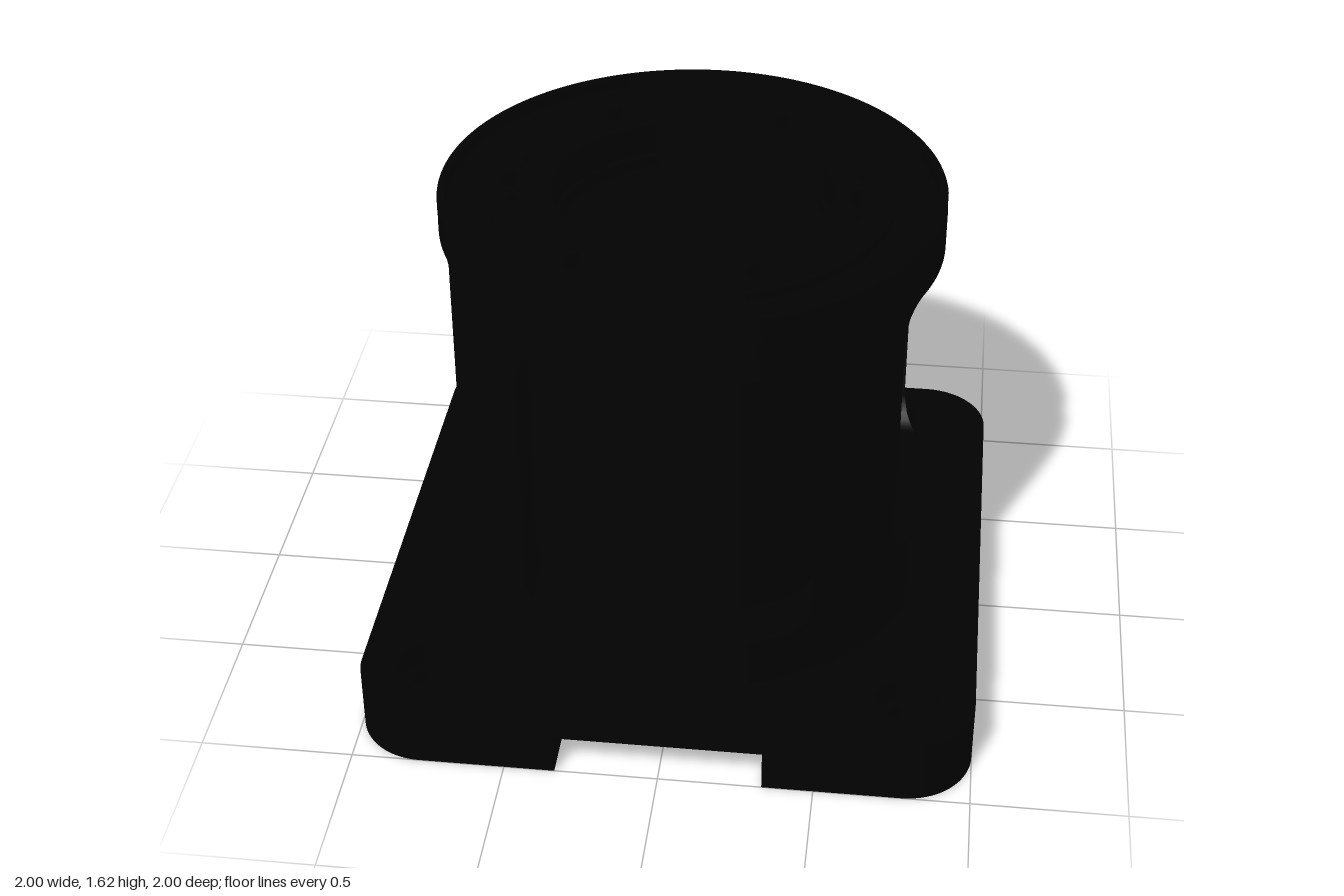
import * as THREE from 'three';
import { toCreasedNormals } from 'three/addons/utils/BufferGeometryUtils.js';

const R = 0.81, RI = 0.64, BASE = 0.223, TOP = 1.54;
const material = new THREE.MeshStandardMaterial({ color: 0x020202 });

function mesh(geometry, name, smooth = true) {
  const g = smooth ? toCreasedNormals(geometry, 0.5) : geometry;
  const m = new THREE.Mesh(g, material);
  m.name = name;
  return m;
}

// Extrude a plan shape upward from y0 to y1
function slab(shape, y0, y1, name, curveSegments = 16) {
  const g = new THREE.ExtrudeGeometry(shape, { depth: y1 - y0, bevelEnabled: false, curveSegments });
  g.rotateX(-Math.PI / 2).translate(0, y0, 0);
  return mesh(g, name);
}

function lathe(points, name) {
  return mesh(new THREE.LatheGeometry(points.map(p => new THREE.Vector2(...p)), 96), name);
}

function addHole(shape, x, y, r) {
  shape.holes.push(new THREE.Path().absarc(x, y, r, 0, Math.PI * 2, true));
}

// Openings in the housing wall, one sector per side; w is the half width
const sectors = [
  { c: 0, flat: true, openings: [{ w: 0.28, y0: 0.1, y1: 0.4, r: 0.06 }, { w: 0.4, y0: 0.5, y1: 1.45, r: 0.1 }] },
  { c: 0.5, openings: [{ w: 0.47, y0: 0.4, y1: 1.4, r: 0.1 }] },
  { c: 1, openings: [{ w: 0.37, y0: 0.1, y1: 1.51, r: 0.01 }] },
  { c: 1.5, openings: [{ w: 0.47, y0: 0.4, y1: 1.4, r: 0.1 }] },
];

// Lower and upper edge of a round-cornered opening at offset s
function edges(o, s) {
  const d = Math.max(0, Math.abs(s) - (o.w - o.r));
  const inset = o.r - Math.sqrt(Math.max(0, o.r * o.r - d * d));
  return [Math.max(BASE, o.y0 + inset), o.y1 - inset];
}

// Cylindrical wall built column by column around the openings
function housingGeometry() {
  const cols = [];
  sectors.forEach((sec, i) => {
    const c = sec.c * Math.PI, w = Math.max(...sec.openings.map(o => o.w));
    const list = sec.flat ? [-0.306, -0.28, 0.28, 0.306] : [];
    for (let k = 0; k <= 40; k++) list.push(-w + (2 * w * k) / 40);
    list.sort((a, b) => a - b);
    for (const s of list) {
      cols.push({ sec, s, ao: c + Math.asin(s / R), ai: c + Math.asin(s / RI) });
    }
    // solid post up to the next sector
    const next = sectors[(i + 1) % 4], nw = Math.max(...next.openings.map(o => o.w));
    const nc = c + Math.PI / 2, last = cols[cols.length - 1];
    for (let k = 1; k < 8; k++) {
      cols.push({
        ao: THREE.MathUtils.lerp(last.ao, nc - Math.asin(nw / R), k / 8),
        ai: THREE.MathUtils.lerp(last.ai, nc - Math.asin(nw / RI), k / 8),
      });
    }
  });

  const pos = [];
  const quad = (a, b, c, d) => pos.push(...a, ...b, ...c, ...a, ...c, ...d);
  const inner = (col, y) => [RI * Math.cos(col.ai), y, RI * Math.sin(col.ai)];
  const outer = (col, y) => {
    const x = R * Math.cos(col.ao), z = R * Math.sin(col.ao);
    return [col.sec?.flat && y < 0.501 ? Math.min(x, 0.75) : x, y, z];
  };

  cols.forEach((A, i) => {
    const B = cols[(i + 1) % cols.length];
    const la = [BASE], lb = [BASE];
    if (A.sec && A.sec === B.sec) {
      for (const o of A.sec.openings) {
        if (Math.abs(A.s + B.s) / 2 > o.w) continue;
        const ea = edges(o, A.s), eb = edges(o, B.s);
        la.push(...ea);
        lb.push(...eb);
        // upright sides of the opening
        if (Math.abs(A.s + o.w) < 1e-6) quad(outer(A, ea[0]), outer(A, ea[1]), inner(A, ea[1]), inner(A, ea[0]));
        if (Math.abs(B.s - o.w) < 1e-6) quad(inner(B, eb[0]), inner(B, eb[1]), outer(B, eb[1]), outer(B, eb[0]));
      }
    }
    la.push(TOP);
    lb.push(TOP);
    for (let k = 0; k < la.length; k += 2) {
      const [a0, a1, b0, b1] = [la[k], la[k + 1], lb[k], lb[k + 1]];
      if (a1 - a0 < 1e-6 && b1 - b0 < 1e-6) continue;
      quad(outer(A, a0), outer(A, a1), outer(B, b1), outer(B, b0));
      quad(inner(B, b0), inner(B, b1), inner(A, a1), inner(A, a0));
      quad(outer(A, a1), inner(A, a1), inner(B, b1), outer(B, b1));
      quad(outer(B, b0), inner(B, b0), inner(A, a0), outer(A, a0));
    }
  });
  const g = new THREE.BufferGeometry();
  g.setAttribute('position', new THREE.Float32BufferAttribute(pos, 3));
  g.computeVertexNormals();
  return g;
}

export function createModel() {
  const group = new THREE.Group();
  const q = Math.PI / 2, cr = 0.22, relief = 0.56;

  // Base plate with counterbored corner holes and an open centre
  const plate = new THREE.Shape();
  [[1, 1], [-1, 1], [-1, -1], [1, -1]].forEach(([x, y], i) => {
    plate.absarc(x * (1 - cr), y * (1 - cr), cr, i * q, (i + 1) * q, false);
    addHole(plate, x * 0.78, y * 0.78, 0.1);
  });
  addHole(plate, 0, 0, relief);
  addHole(plate, 0, 0.73, 0.03);
  addHole(plate, 0, -0.73, 0.03);
  group.add(slab(plate, 0.14, BASE, 'basePlate', 24));

  // Four corner feet, leaving a cross channel and a round centre relief
  const e = 0.335, a = Math.acos(e / relief);
  for (let i = 0; i < 4; i++) {
    const foot = new THREE.Shape();
    foot.moveTo(1, e);
    foot.lineTo(1, 1 - cr);
    foot.absarc(1 - cr, 1 - cr, cr, 0, q, false);
    foot.lineTo(e, 1);
    foot.absarc(0, 0, relief, a, q - a, true);
    addHole(foot, 0.78, 0.78, 0.06);
    addHole(foot, 0.5, 0.5, 0.07);
    const m = slab(foot, 0, 0.14, 'foot', 24);
    m.rotation.y = i * q;
    group.add(m);
  }

  // Windowed housing and the cylinder inside it
  group.add(mesh(housingGeometry(), 'housing'));
  group.add(lathe([[0, 0.229], [0.645, 0.229], [0.645, TOP]], 'innerCylinder'));

  // Cross bar in the open side
  const bar = mesh(new THREE.BoxGeometry(0.13, 0.08, 0.73), 'crossBar', false);
  bar.position.set(-0.655, 0.67, 0);
  group.add(bar);

  // Top deck with stepped bore
  group.add(lathe([[R, TOP], [R, 1.58], [0.64, 1.58], [0.64, 1.55], [0.45, 1.55],
    [0.45, 1.5], [0.43, 1.5], [0.43, 1.46], [0, 1.46]], 'topDeck'));

  // Thin outer rim with a notch
  const gap = 0.055, rim = new THREE.Shape();
  rim.absarc(0, 0, R, gap, 2 * Math.PI - gap, false);
  rim.absarc(0, 0, 0.785, 2 * Math.PI - gap, gap, true);
  group.add(slab(rim, 1.58, 1.62, 'rim', 96));

  // Raised flange ring with bolt and pin holes
  const flange = new THREE.Shape().absarc(0, 0, 0.65, 0, Math.PI * 2, false);
  addHole(flange, 0, 0, 0.45);
  for (let i = 0; i < 6; i++) {
    const t = (i * Math.PI) / 3;
    addHole(flange, 0.56 * Math.cos(t), 0.56 * Math.sin(t), 0.06);
  }
  for (const x of [-1, 1]) for (const y of [-1, 1]) addHole(flange, x * 0.545, y * 0.13, 0.025);
  group.add(slab(flange, 1.55, 1.61, 'flange', 48));

  return group;
}
